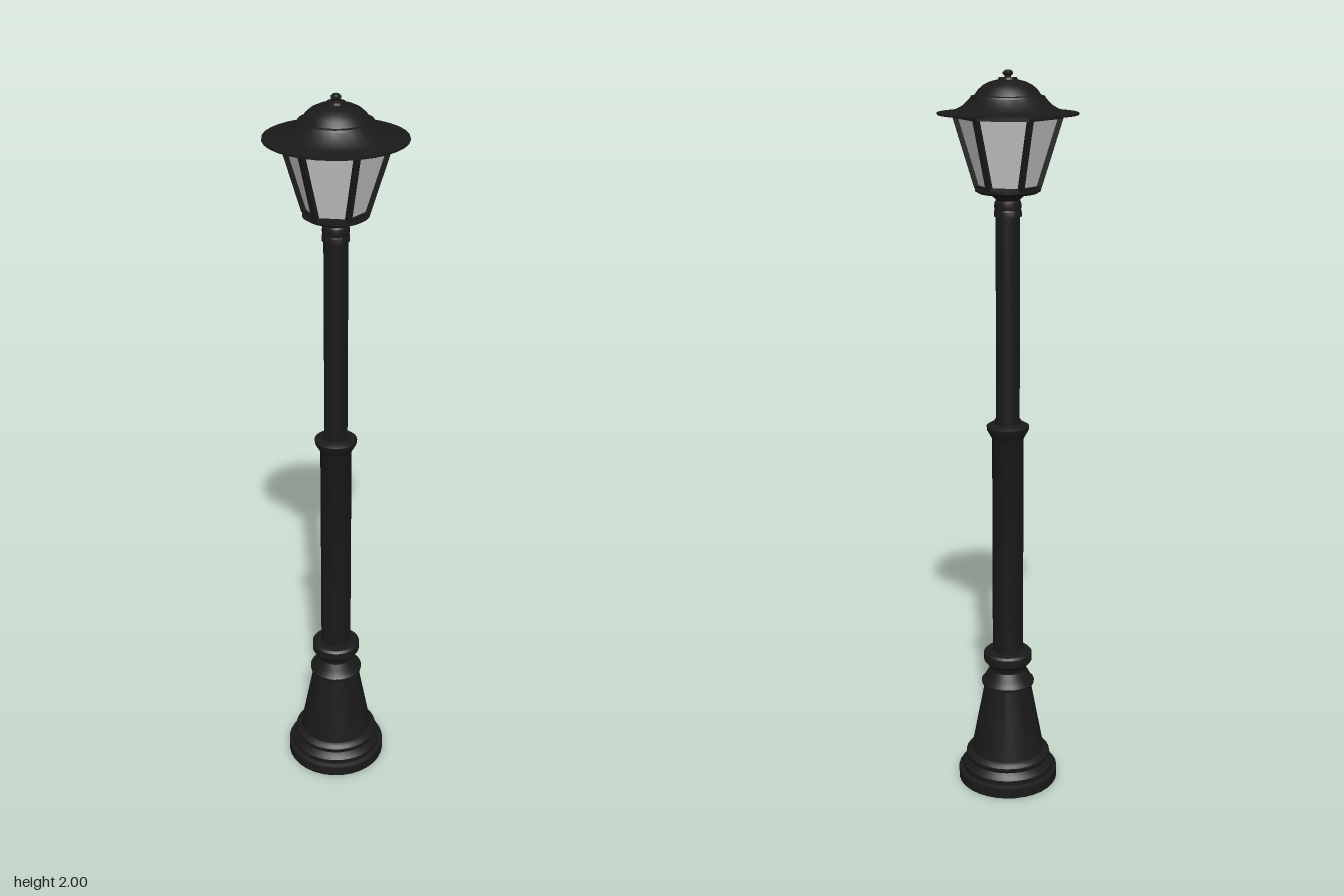
import * as THREE from 'three';
import { toCreasedNormals } from 'three/addons/utils/BufferGeometryUtils.js';

const iron = new THREE.MeshStandardMaterial({ color: 0x1a1a1a });
const glass = new THREE.MeshStandardMaterial({ color: 0xcccccc, flatShading: true });

// Turned part from [radius, height] pairs, listed bottom to top
function turned(name, profile) {
  const points = profile.map(([r, y]) => new THREE.Vector2(r, y));
  const mesh = new THREE.Mesh(toCreasedNormals(new THREE.LatheGeometry(points, 32), 0.6), iron);
  mesh.name = name;
  return mesh;
}

// Square bar between two points, one side facing away from the lamp axis
function bar(name, a, b, width) {
  const mesh = new THREE.Mesh(new THREE.BoxGeometry(width, width, a.distanceTo(b)), iron);
  mesh.position.addVectors(a, b).multiplyScalar(0.5);
  mesh.up.set(mesh.position.x, 0, mesh.position.z).normalize();
  mesh.lookAt(b);
  mesh.name = name;
  return mesh;
}

// Six-sided lantern with corners on the x axis
function createLantern() {
  const lantern = new THREE.Group();
  lantern.name = 'lantern';
  const low = 1.705, high = 1.89, rLow = 0.08, rHigh = 0.137;

  const panes = new THREE.Mesh(
    new THREE.CylinderGeometry(rHigh - 0.004, rLow - 0.004, high - low, 6, 1, false, Math.PI / 6), glass);
  panes.position.y = (low + high) / 2;
  panes.name = 'glassPanes';
  lantern.add(panes);

  const corner = (i, r, y) => {
    const a = i * Math.PI / 3;
    return new THREE.Vector3(r * Math.cos(a), y, r * Math.sin(a));
  };
  for (let i = 0; i < 6; i++) {
    lantern.add(
      bar('cornerPost', corner(i, rLow, low), corner(i, rHigh, high), 0.013),
      bar('lowerRail', corner(i, rLow, low), corner(i + 1, rLow, low), 0.012),
      bar('upperRail', corner(i, rHigh, high - 0.004), corner(i + 1, rHigh, high - 0.004), 0.011));
  }
  return lantern;
}

export function createModel() {
  const model = new THREE.Group();
  model.name = 'streetLamp';
  model.add(
    // Stepped foot with a tapering pedestal, waist and collar
    turned('pedestal', [
      [0, 0], [0.142, 0], [0.142, 0.03], [0.13, 0.034], [0.13, 0.048], [0.122, 0.056],
      [0.116, 0.066], [0.12, 0.074], [0.12, 0.081], [0.114, 0.088], [0.104, 0.092],
      [0.066, 0.295], [0.074, 0.299], [0.075, 0.306], [0.068, 0.313], [0.062, 0.325],
      [0.052, 0.343], [0.054, 0.355], [0.065, 0.367], [0.068, 0.371], [0.068, 0.393],
      [0.062, 0.399], [0.043, 0.402], [0, 0.402]]),
    // Thick lower shaft with a flared collar
    turned('lowerShaft', [
      [0.043, 0.395], [0.043, 1.03], [0.048, 1.04], [0.057, 1.056], [0.058, 1.066],
      [0.05, 1.071], [0.036, 1.074], [0.036, 1.083], [0, 1.083]]),
    turned('upperShaft', [[0.032, 1.07], [0.032, 1.635], [0, 1.635]]),
    // Knuckle under the lantern
    turned('neck', [
      [0, 1.632], [0.036, 1.632], [0.036, 1.645], [0.034, 1.65], [0.036, 1.658],
      [0.034, 1.67], [0.026, 1.678], [0.026, 1.684], [0, 1.684]]),
    turned('lanternPan', [
      [0, 1.672], [0.03, 1.674], [0.042, 1.686], [0.075, 1.692], [0.085, 1.698],
      [0.085, 1.704], [0, 1.706]]),
    createLantern(),
    // Wide thin brim rising to a stepped dome
    turned('roof', [
      [0, 1.888], [0.181, 1.89], [0.181, 1.895], [0.138, 1.9], [0.115, 1.912], [0.096, 1.931],
      [0.094, 1.936], [0.085, 1.938], [0.076, 1.951], [0.062, 1.963], [0.045, 1.971],
      [0.025, 1.976], [0.023, 1.981], [0, 1.982]]),
    turned('finial', [
      [0.015, 1.976], [0.008, 1.982], [0.008, 1.985], [0.013, 1.989], [0.013, 1.994],
      [0.008, 1.999], [0, 2]]));
  return model;
}
